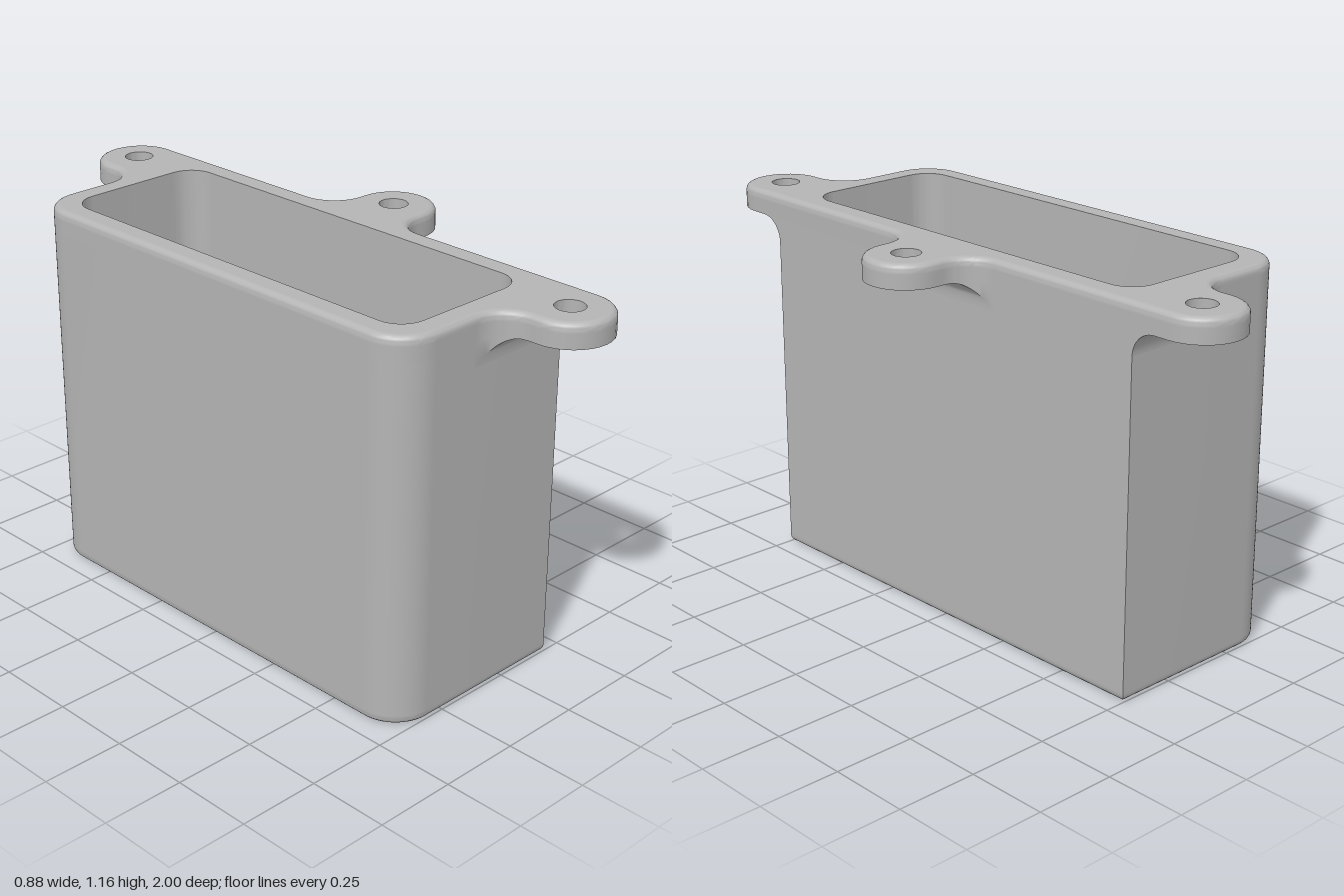
import * as THREE from 'three';
import { toCreasedNormals } from 'three/addons/utils/BufferGeometryUtils.js';

const PI = Math.PI, H = PI / 2;
const TOP = 1.1625, UNDER = 1.09, FLOOR = 0.075; // rim top, lug underside, cavity floor
const EDGE = 0.02, FLARE = 0.1, WEB = 0.075;     // edge rounding, lug flare, lug fillet
const RIGHT = 0.1875, BACK = 0.75, HOLE = 0.0435;

// Joins arcs [cx, cy, radius, from, to] into one closed outline; radius 0 is a corner
function arcs(list, n = 16) {
  const pts = [];
  for (const [cx, cy, r, a, b] of list) {
    const steps = r ? n : 0;
    for (let i = 0; i <= steps; i++) {
      const t = r ? a + (b - a) * i / steps : 0;
      pts.push(new THREE.Vector2(cx + r * Math.cos(t), cy + r * Math.sin(t)));
    }
  }
  return pts;
}

// Box outline: two rounded corners, two sharp ones, inset by e
const bodyOutline = e => arcs([
  [RIGHT - e, -BACK + e, 0], [RIGHT - e, BACK - e, 0],
  [-0.3125, 0.625, 0.125 - e, H, PI], [-0.3125, -0.625, 0.125 - e, PI, 3 * H],
]);

// Rim outline with three lugs, inset by e
const rimOutline = e => arcs([
  [0.2875, -0.225, FLARE + e, PI, H],
  [0.3125, 0, 0.125 - e, -H, H],
  [0.2875, 0.225, FLARE + e, -H, -PI],
  [0.0625, 0.875, 0.125 - e, 0, PI],
  [-0.1625, 0.85, FLARE + e, 0, -H],
  [-0.3125, 0.625, 0.125 - e, H, PI],
  [-0.3125, -0.625, 0.125 - e, PI, 3 * H],
  [-0.1625, -0.85, FLARE + e, H, 0],
  [0.0625, -0.875, 0.125 - e, PI, 2 * PI],
]);

const cavityOutline = arcs([
  [0.0325, -0.595, 0.08, -H, 0], [0.0325, 0.595, 0.08, 0, H],
  [-0.285, 0.595, 0.08, H, PI], [-0.285, -0.595, 0.08, PI, 3 * H],
]);

const circle = (x, y) => {
  const pts = arcs([[x, y, HOLE, 0, 2 * PI]], 32);
  pts.pop();
  return pts;
};
const lugHoles = [[0.0625, 0.875], [0.0625, -0.875], [0.3125, 0]].map(p => circle(...p));
const floorHoles = [[-0.09, 0.5], [-0.09, -0.5]].map(p => circle(...p));

// Non-indexed geometry from quads of corner points
function fromQuads(quads) {
  const pos = [];
  for (const [a, b, c, d] of quads) for (const p of [a, b, c, a, c, d]) pos.push(...p);
  const g = new THREE.BufferGeometry();
  g.setAttribute('position', new THREE.Float32BufferAttribute(pos, 3));
  return toCreasedNormals(g, 0.6);
}

// Wall through stacked outlines [points, y], listed from the bottom up
function wall(rings, inward = false) {
  const quads = [];
  for (let k = 0; k < rings.length - 1; k++) {
    const [lo, y0] = rings[k], [hi, y1] = rings[k + 1];
    for (let i = 0; i < lo.length; i++) {
      const j = (i + 1) % lo.length;
      const q = [[lo[i].x, y0, -lo[i].y], [lo[j].x, y0, -lo[j].y],
        [hi[j].x, y1, -hi[j].y], [hi[i].x, y1, -hi[i].y]];
      quads.push(inward ? q.reverse() : q);
    }
  }
  return fromQuads(quads);
}

// Flat horizontal face with holes
function plate(outline, holes, y, up) {
  const s = new THREE.Shape(outline);
  s.holes = holes.map(h => new THREE.Path(h));
  return new THREE.ShapeGeometry(s).rotateX(up ? -H : H).translate(0, y, 0);
}

// Concave fillet under a lug, clipped by the flared lug outline
function web(lo, hi, flareLo, flareHi, base, turn) {
  const n = 12, quads = [], sections = [];
  for (let i = 0; i <= n; i++) {
    const a = H * i / n;
    const d = WEB * (1 - Math.cos(a)), y = UNDER - WEB + WEB * Math.sin(a);
    const f = FLARE - Math.sqrt(FLARE ** 2 - (d - FLARE) ** 2);
    const l = lo - flareLo * f, r = hi + flareHi * f, z = base + d;
    sections.push([[l, UNDER, z], [l, y, z], [r, y, z], [r, UNDER, z]]);
  }
  for (let i = 0; i < n; i++) {
    const s = sections[i], t = sections[i + 1];
    for (let k = 0; k < 3; k++) quads.push([s[k], s[k + 1], t[k + 1], t[k]]);
  }
  return fromQuads(quads).rotateY(turn);
}

export function createModel() {
  const model = new THREE.Group();
  const grey = new THREE.MeshStandardMaterial({ color: 0xb4b4b4 });
  grey.name = 'grey';
  const add = (name, geometry) => {
    const m = new THREE.Mesh(geometry, grey);
    m.name = name;
    model.add(m);
  };

  // Quarter-round steps as [inset, distance from the flat face]
  const round = [];
  for (let i = 0; i <= 5; i++) {
    const a = H * i / 5;
    round.push([EDGE * (1 - Math.sin(a)), EDGE * (1 - Math.cos(a))]);
  }

  // Box
  add('boxWall', wall([...round.map(([e, y]) => [bodyOutline(e), y]),
    [bodyOutline(0), 0.028], [bodyOutline(0), UNDER]]));
  add('boxBottom', plate(bodyOutline(EDGE), floorHoles, 0, false));

  // Rim with lugs
  add('rimEdge', wall([[rimOutline(0), UNDER], [rimOutline(0), TOP - 0.028],
    ...round.map(([e, y]) => [rimOutline(e), TOP - y]).reverse()]));
  add('rimTop', plate(rimOutline(EDGE), [cavityOutline, ...lugHoles], TOP, true));
  add('rimUnderside', plate(rimOutline(0), [cavityOutline, ...lugHoles], UNDER, false));

  // Cavity
  add('cavityWall', wall([[cavityOutline, FLOOR], [cavityOutline, TOP]], true));
  add('cavityFloor', plate(cavityOutline, floorHoles, FLOOR, true));

  // Screw holes
  for (const h of lugHoles) add('lugHole', wall([[h, UNDER], [h, TOP]], true));
  for (const h of floorHoles) add('floorHole', wall([[h, 0], [h, FLOOR]], true));

  // Fillets under the lugs
  add('frontLugFillet', web(-0.0625, RIGHT, 1, 0, BACK, 0));
  add('backLugFillet', web(-RIGHT, 0.0625, 0, 1, BACK, PI));
  add('sideLugFillet', web(-0.125, 0.125, 1, 1, RIGHT, H));

  return model;
}
